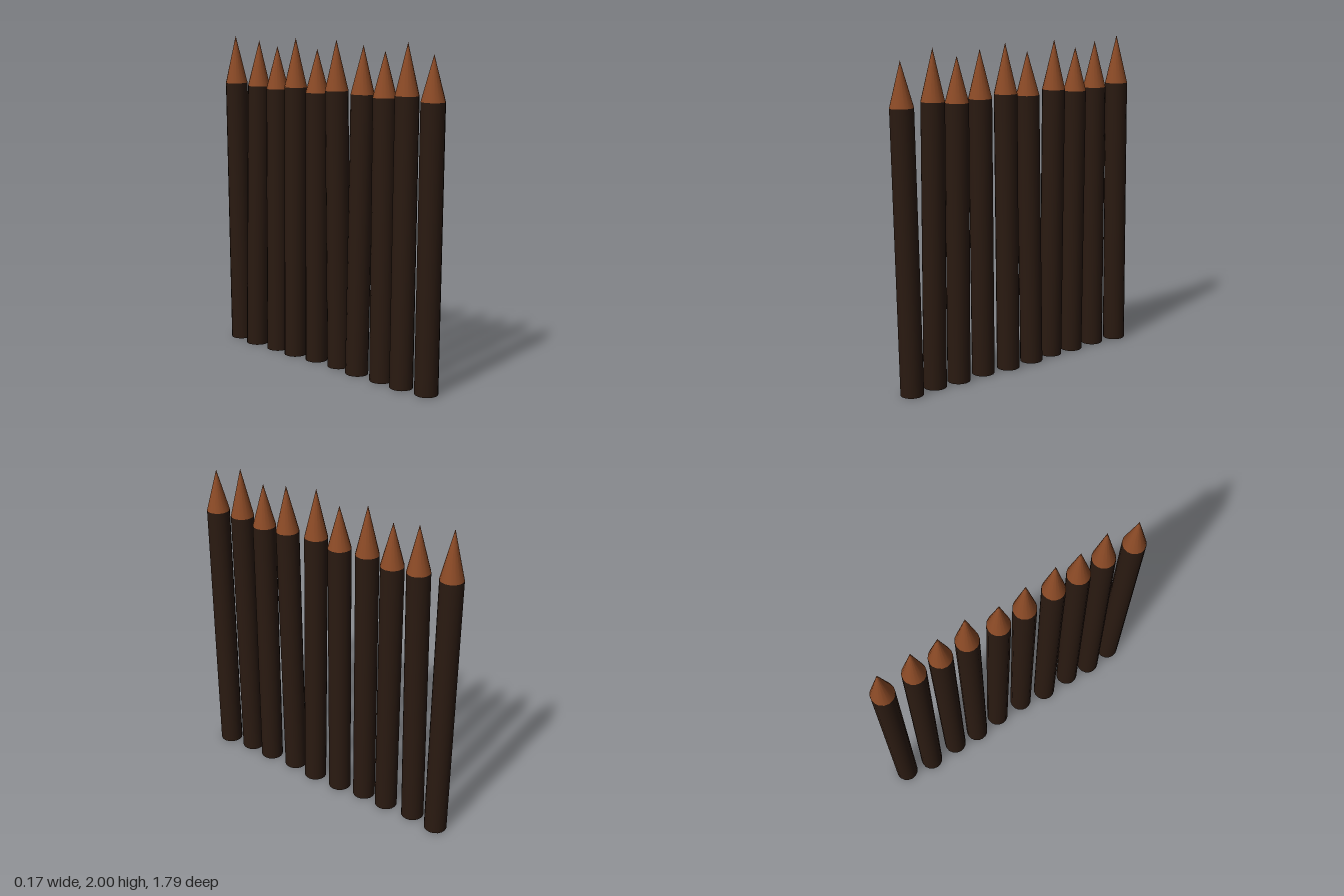
import * as THREE from 'three';

const RADIUS = 0.07;
const SIDES = 16;

export function createModel() {
  const fence = new THREE.Group();
  fence.name = 'palisade';
  const barkMaterial = new THREE.MeshStandardMaterial({ color: 0x2a1a11 });
  const cutMaterial = new THREE.MeshStandardMaterial({ color: 0x8b4a26 });

  // One stake: foot and top positions as [x, z], shoulder height and tip height
  function addStake(foot, top, shoulder, tip) {
    const stake = new THREE.Group();
    stake.name = 'stake';

    // Dark log with bare cut ends
    const log = new THREE.Mesh(
      new THREE.CylinderGeometry(RADIUS, RADIUS, shoulder, SIDES),
      [barkMaterial, cutMaterial, cutMaterial]
    );
    log.name = 'log';
    log.position.y = shoulder / 2;

    // Sharpened point
    const point = new THREE.Mesh(
      new THREE.ConeGeometry(RADIUS, tip - shoulder, SIDES, 1, true),
      cutMaterial
    );
    point.name = 'sharpenedPoint';
    point.position.y = (shoulder + tip) / 2;

    // Lean the stake from its foot towards its top
    const lean = new THREE.Vector3(top[0] - foot[0], shoulder, top[1] - foot[1]).normalize();
    stake.quaternion.setFromUnitVectors(new THREE.Vector3(0, 1, 0), lean);
    stake.position.set(foot[0], 0, foot[1]);
    stake.add(log, point);
    fence.add(stake);
  }

  // Row from front to back: foot x, foot z, top x, top z, shoulder, tip
  const row = [
    [0.004, 0.804, -0.005, 0.829, 1.68, 1.94],
    [-0.014, 0.627, 0.008, 0.627, 1.70, 2.0],
    [-0.004, 0.458, 0.008, 0.458, 1.68, 1.945],
    [-0.012, 0.265, 0.004, 0.287, 1.69, 1.975],
    [0.012, 0.087, -0.008, 0.087, 1.70, 2.0],
    [0.008, -0.105, -0.005, -0.082, 1.68, 1.94],
    [-0.01, -0.281, 0.004, -0.281, 1.70, 2.0],
    [-0.004, -0.452, 0.008, -0.452, 1.68, 1.945],
    [-0.012, -0.645, 0.004, -0.622, 1.69, 1.975],
    [0.012, -0.826, -0.008, -0.826, 1.70, 2.0],
  ];
  for (const [fx, fz, tx, tz, shoulder, tip] of row) {
    addStake([fx, fz], [tx, tz], shoulder, tip);
  }
  return fence;
}
